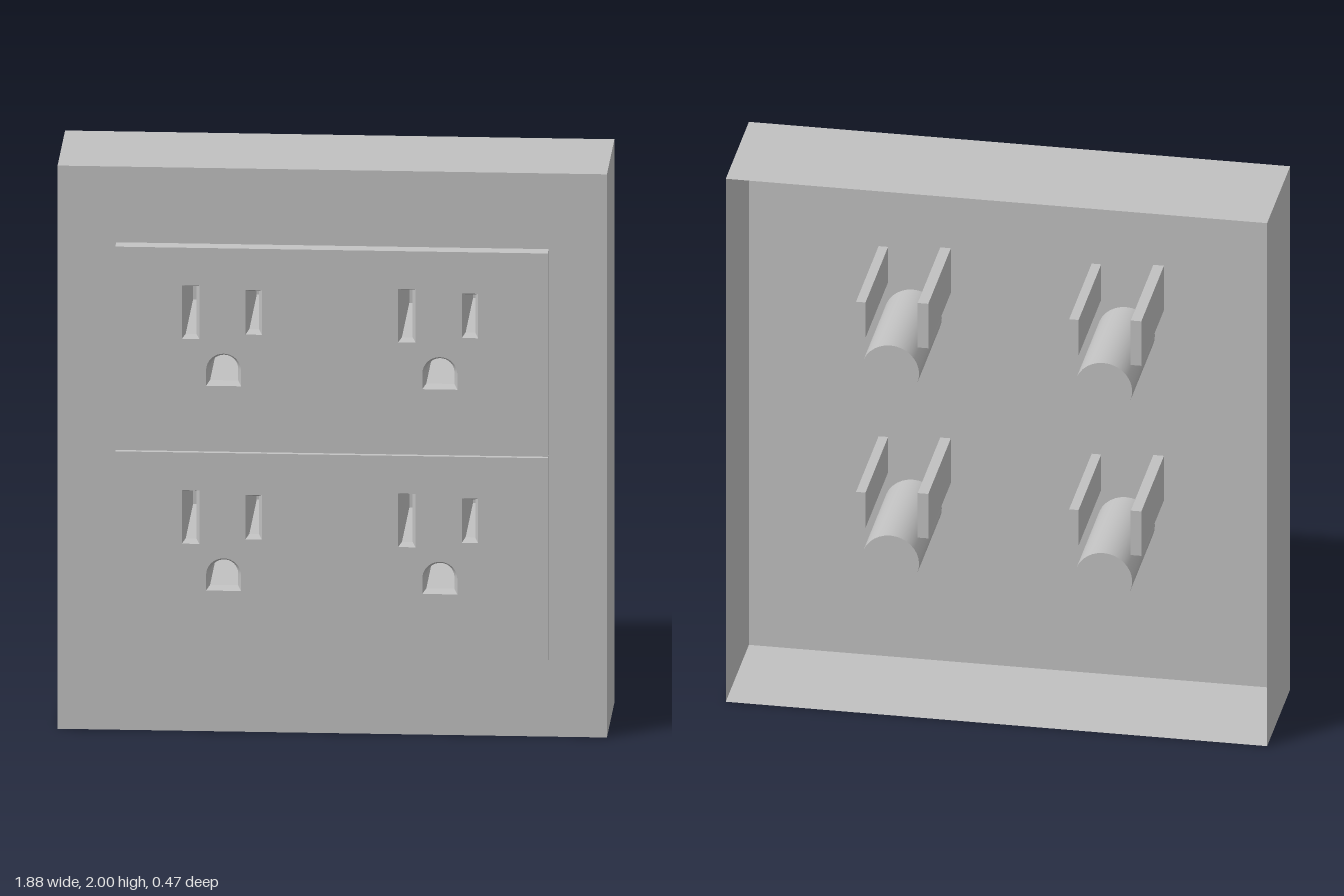
import * as THREE from 'three';
import { toCreasedNormals } from 'three/addons/utils/BufferGeometryUtils.js';

const BACK = -0.235, FACE = 0.205, FRONT = 0.235, WELL_END = -0.225;

// Outlines run counter-clockwise as lists of [x, y]
const rect = (x0, y0, x1, y1) => [[x0, y0], [x1, y0], [x1, y1], [x0, y1]];
const slot = (x, y, w, h) => rect(x - w / 2, y - h / 2, x + w / 2, y + h / 2);

// Circular arc closed by a straight chord, or with straight legs down to a sill
function arc(x, y, r, from, to, n) {
  const pts = [];
  for (let i = 0; i <= n; i++) {
    const a = from + (to - from) * i / n;
    pts.push([x + r * Math.cos(a), y + r * Math.sin(a)]);
  }
  return pts;
}
const arch = (x, y, r, sill) =>
  [[x - r, sill], [x + r, sill], ...arc(x, y, r, 0, Math.PI, 16)];

// Skin between outlines at successive depths (back to front)
function loft(rings) {
  const pos = [], index = [], n = rings[0].pts.length;
  for (const { pts, z } of rings) for (const [x, y] of pts) pos.push(x, y, z);
  for (let r = 0; r < rings.length - 1; r++) {
    for (let i = 0; i < n; i++) {
      const a = r * n + i, b = r * n + (i + 1) % n;
      index.push(a, b, b + n, a, b + n, a + n);
    }
  }
  const g = new THREE.BufferGeometry();
  g.setAttribute('position', new THREE.Float32BufferAttribute(pos, 3));
  g.setIndex(index);
  return toCreasedNormals(g, 0.5);
}

// Flat sheet at depth z with openings
function sheet(outline, holes, z) {
  const v = pts => pts.map(([x, y]) => new THREE.Vector2(x, y));
  const s = new THREE.Shape(v(outline));
  holes.forEach(h => s.holes.push(new THREE.Path(v(h))));
  return new THREE.ShapeGeometry(s).translate(0, 0, z);
}

export function createModel() {
  const model = new THREE.Group();
  model.name = 'wallOutlet';
  const grey = new THREE.MeshStandardMaterial({ color: 0xc0c0c0, side: THREE.DoubleSide });
  grey.name = 'plainGrey';
  const add = (parent, name, geometry) => {
    const m = new THREE.Mesh(geometry, grey);
    m.name = name;
    parent.add(m);
  };

  const faceHoles = [];
  for (const [row, dy] of [['upper', 0], ['lower', -0.727]]) {
    const bank = new THREE.Group();
    bank.name = row + 'Bank';
    model.add(bank);
    const plateHoles = [];

    for (const cx of [-0.37, 0.37]) {
      const socket = new THREE.Group();
      socket.name = cx > 0 ? 'leftSocket' : 'rightSocket';
      bank.add(socket);

      // Each opening has a sloped lip and a straight blind well
      const openings = [
        ['tallSlot', slot(cx - 0.113, 1.495 + dy, 0.037, 0.17), slot(cx - 0.113, 1.495 + dy, 0.06, 0.19)],
        ['shortSlot', slot(cx + 0.103, 1.498 + dy, 0.033, 0.135), slot(cx + 0.103, 1.498 + dy, 0.056, 0.158)],
        ['groundHole', arch(cx, 1.29 + dy, 0.048, 1.247 + dy), arch(cx, 1.29 + dy, 0.06, 1.235 + dy)],
      ];
      for (const [name, inner, outer] of openings) {
        add(socket, name + 'Lip', loft([{ pts: inner, z: FACE }, { pts: outer, z: FRONT }]));
        add(socket, name + 'Well', loft([{ pts: inner, z: WELL_END }, { pts: inner, z: FACE }]));
        add(socket, name + 'End', sheet(inner, [], WELL_END).scale(1, 1, 1));
        faceHoles.push(inner);
        plateHoles.push(outer);
      }

      // Wide flat-bottomed barrel behind the ground hole
      const cut = Math.asin(0.7);
      const barrel = arc(cx, 1.31 + dy, 0.1, -cut, Math.PI + cut, 24);
      add(socket, 'groundBarrel', loft([{ pts: barrel, z: WELL_END - 0.002 }, { pts: barrel, z: FACE }]));
      add(socket, 'groundBarrelEnd', sheet(barrel, [], WELL_END - 0.002));
    }

    // Raised plate with a sloped top edge
    const front = rect(-0.74, 1.002 + dy, 0.74, 1.724 + dy);
    const base = rect(-0.74, 1.002 + dy, 0.74, 1.731 + dy);
    add(bank, 'plateFront', sheet(front, plateHoles, FRONT));
    add(bank, 'plateEdge', loft([{ pts: base, z: FACE }, { pts: front, z: FRONT }]));
  }

  // Thin housing, open at the back
  const outline = rect(-0.94, 0, 0.94, 2);
  add(model, 'housingFace', sheet(outline, faceHoles, FACE));
  add(model, 'housingWalls', loft([{ pts: outline, z: BACK }, { pts: outline, z: FACE }]));
  return model;
}
